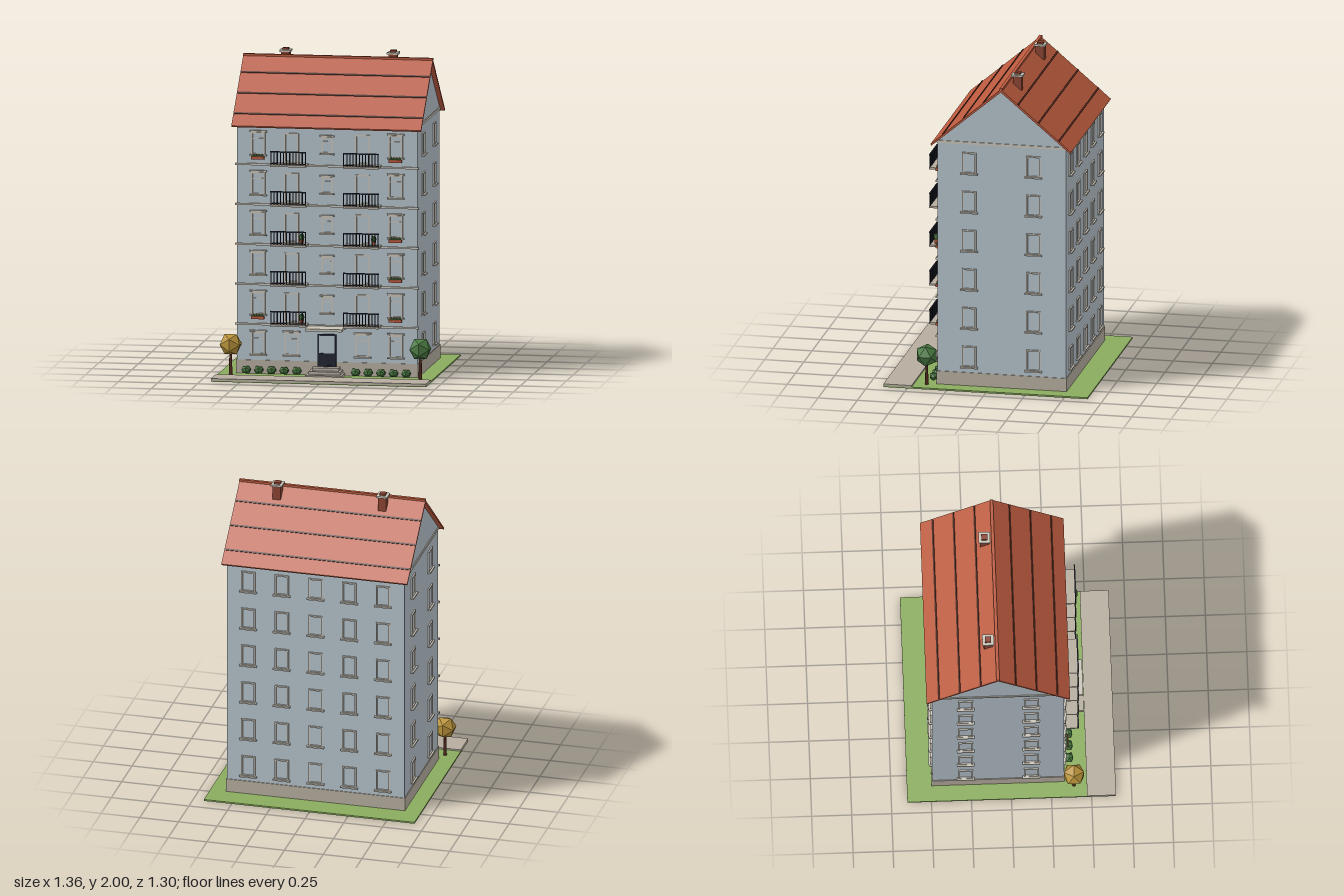
import * as THREE from 'three';

const material = (name, color, flatShading = false) => {
  const m = new THREE.MeshStandardMaterial({ color, flatShading });
  m.name = name;
  return m;
};
const WALL = material('pale blue wall', 0xb4c1ca);
const TRIM = material('cream trim', 0xc9c4b9);
const STONE = material('stone', 0xb6ad9f);
const ROOF = material('terracotta', 0xb9593d);
const BRICK = material('brick', 0x8a4432);
const BROWN = material('dark brown', 0x50281c);
const IRON = material('dark iron', 0x20242f);
const LEAF = material('leaf green', 0x4a7a42, true);
const GRASS = material('grass', 0x8aac5e);
const GOLD = material('golden leaf', 0xb8923a, true);

const FRONT = 0.33, BACK = -0.49, SIDE = 0.572, RIDGE = -0.08;
const PITCH = 0.252;

export function createModel() {
  const model = new THREE.Group();
  model.name = 'apartmentBuilding';

  const add = (parent, name, geometry, mat, x = 0, y = 0, z = 0) => {
    const mesh = new THREE.Mesh(geometry, mat);
    mesh.name = name;
    mesh.position.set(x, y, z);
    parent.add(mesh);
    return mesh;
  };
  // Box given by its centre in x and z, and its bottom in y
  const box = (parent, name, mat, w, h, d, x, y, z) =>
    add(parent, name, new THREE.BoxGeometry(w, h, d), mat, x, y + h / 2, z);
  const group = (name, x = 0, y = 0, z = 0) => {
    const g = new THREE.Group();
    g.name = name;
    g.position.set(x, y, z);
    model.add(g);
    return g;
  };
  // Profile of [z, y] points extruded along x
  const prism = (points, length) => {
    const shape = new THREE.Shape(points.map(([z, y]) => new THREE.Vector2(z, y)));
    const g = new THREE.ExtrudeGeometry(shape, { depth: length, bevelEnabled: false });
    return g.translate(0, 0, -length / 2).rotateY(-Math.PI / 2);
  };

  // Ground
  box(model, 'lawn', GRASS, 1.36, 0.01, 1.3, 0, 0, 0);
  box(model, 'pavement', STONE, 1.36, 0.014, 0.18, 0, 0.006, 0.562);

  // Walls, plinth and gable bands
  add(model, 'walls', prism([[FRONT, 0.01], [FRONT, 1.595], [RIDGE, 1.935], [BACK, 1.595], [BACK, 0.01]], SIDE * 2), WALL);
  box(model, 'plinth', STONE, SIDE * 2 + 0.01, 0.085, FRONT - BACK + 0.01, 0, 0.01, RIDGE);
  box(model, 'eavesBand', TRIM, SIDE * 2 + 0.012, 0.016, FRONT - BACK + 0.012, 0, 1.58, RIDGE);
  for (let i = 0; i < 5; i++)
    box(model, 'floorBand', TRIM, SIDE * 2 + 0.016, 0.012, 0.012, 0, 0.316 + i * PITCH, FRONT + 0.004);

  // Roof, tile courses and ridge
  add(model, 'roof', prism([[0.368, 1.575], [RIDGE, 1.956], [-0.528, 1.575], [-0.522, 1.565], [RIDGE, 1.938], [0.362, 1.565]], 1.2), ROOF);
  const slope = Math.atan2(1.956 - 1.575, 0.448);
  for (const s of [-1, 1]) {
    for (const run of [0.11, 0.24, 0.37]) {
      const course = add(model, 'tileCourse', new THREE.BoxGeometry(1.19, 0.008, 0.011), BROWN,
        0, 1.957 - run * Math.tan(slope), RIDGE + s * run);
      course.rotation.x = s * slope;
    }
  }
  box(model, 'ridgeCap', ROOF, 1.2, 0.014, 0.02, 0, 1.95, RIDGE - 0.002);

  // Chimneys
  for (const s of [-1, 1]) {
    const g = group('chimney', s * 0.34, 0, -0.135);
    box(g, 'chimneyStack', BRICK, 0.052, 0.125, 0.055, 0, 1.855, 0);
    box(g, 'chimneyCap', TRIM, 0.072, 0.012, 0.072, 0, 1.976, 0);
    box(g, 'chimneyPot', BRICK, 0.038, 0.012, 0.038, 0, 1.988, 0);
  }

  // Window surround standing on y = 0 and facing +z
  const frameGeometry = (w, h, t = 0.009) => {
    const shape = new THREE.Shape();
    shape.moveTo(-w / 2, 0).lineTo(w / 2, 0).lineTo(w / 2, h).lineTo(-w / 2, h).closePath();
    const hole = new THREE.Path();
    hole.moveTo(-w / 2 + t, t).lineTo(-w / 2 + t, h - t).lineTo(w / 2 - t, h - t).lineTo(w / 2 - t, t).closePath();
    shape.holes.push(hole);
    return new THREE.ExtrudeGeometry(shape, { depth: 0.009, bevelEnabled: false });
  };
  const addWindow = (x, y, z, w, h, { turn = 0, sill = true, lintel = false } = {}) => {
    const g = group('window', x, y, z);
    g.rotation.y = turn;
    add(g, 'windowFrame', frameGeometry(w, h), TRIM);
    if (sill) box(g, 'windowSill', TRIM, w + 0.02, 0.009, 0.024, 0, -0.006, 0.008);
    if (lintel) {
      box(g, 'windowLintel', TRIM, w + 0.022, 0.01, 0.018, 0, h + 0.002, 0.008);
      box(g, 'windowTransom', TRIM, w - 0.01, 0.005, 0.006, 0, h * 0.7, 0.003);
    }
  };

  for (let floor = 0; floor < 6; floor++) {
    const y = 0.13 + floor * PITCH;
    for (const s of [-1, 1]) {
      // Front windows and balcony doors
      addWindow(s * 0.435, y, FRONT, 0.088, 0.143, { lintel: true });
      if (floor === 0) addWindow(s * 0.225, y, FRONT, 0.088, 0.143, { lintel: true });
      else addWindow(s * 0.225, y - 0.045, FRONT, 0.092, 0.187, { sill: false });
      // Side windows
      for (const z of [0.127, -0.283])
        addWindow(s * SIDE, y, z, 0.09, 0.137, { turn: s * Math.PI / 2 });
    }
    if (floor > 0) addWindow(0, y + 0.018, FRONT, 0.07, 0.105, { lintel: true });
    // Back windows
    for (const x of [-0.435, -0.218, 0, 0.218, 0.435])
      addWindow(x, y, BACK, 0.09, 0.137, { turn: Math.PI });
  }

  // Balconies with front railings
  for (let i = 0; i < 5; i++) {
    for (const s of [-1, 1]) {
      const g = group('balcony', s * 0.23, 0.324 + i * PITCH, 0);
      box(g, 'balconySlab', STONE, 0.226, 0.012, 0.106, 0, 0, FRONT + 0.05);
      box(g, 'topRail', IRON, 0.226, 0.008, 0.008, 0, 0.09, 0.427);
      box(g, 'bottomRail', IRON, 0.226, 0.005, 0.006, 0, 0.017, 0.427);
      for (let k = 0; k < 12; k++)
        box(g, 'baluster', IRON, 0.006, 0.08, 0.006, -0.109 + k * 0.0198, 0.012, 0.427);
    }
  }

  // Window boxes with plants and blossoms: [side, floor]
  for (const [s, floor] of [[-1, 1], [-1, 5], [1, 1], [1, 2], [1, 3], [1, 5]]) {
    const g = group('windowBox', s * 0.435, 0.105 + floor * PITCH, FRONT + 0.021);
    box(g, 'planter', ROOF, 0.08, 0.018, 0.024, 0, 0, 0);
    for (let k = 0; k < 4; k++) {
      add(g, 'plant', new THREE.IcosahedronGeometry(0.011), LEAF, -0.027 + k * 0.018, 0.022, 0);
      add(g, 'blossom', new THREE.IcosahedronGeometry(0.004), ROOF, -0.027 + k * 0.018, 0.031, 0.004);
    }
  }

  // Potted plants on balconies: [x, floor]
  for (const [x, floor] of [[-0.15, 0], [-0.15, 2], [0.305, 2]]) {
    const g = group('pottedPlant', x, 0.336 + floor * PITCH, 0.393);
    add(g, 'pot', new THREE.CylinderGeometry(0.014, 0.01, 0.03, 8), ROOF, 0, 0.015, 0);
    add(g, 'potFoliage', new THREE.IcosahedronGeometry(0.019), LEAF, 0, 0.045, 0).scale.y = 1.3;
  }

  // Entrance: door, canopy and steps
  const entrance = group('entrance');
  const doorFrame = add(entrance, 'doorFrame', frameGeometry(0.118, 0.205, 0.01), IRON, 0, 0.065, FRONT + 0.003);
  doorFrame.scale.z = 1.3;
  box(entrance, 'doorPanel', IRON, 0.1, 0.082, 0.009, 0, 0.067, FRONT + 0.006);
  box(entrance, 'doorGlass', WALL, 0.1, 0.115, 0.006, 0, 0.149, FRONT + 0.004);
  box(entrance, 'canopy', TRIM, 0.232, 0.016, 0.136, 0, 0.304, FRONT + 0.068);
  for (let i = 0; i < 3; i++) {
    const depth = 0.14 - i * 0.038;
    box(entrance, 'step', STONE, 0.23 - i * 0.03, 0.018, depth, 0, 0.01 + i * 0.018, FRONT + depth / 2);
  }

  // Shrubs and trees
  for (const s of [-1, 1]) {
    for (let i = 0; i < 5; i++) {
      const shrub = add(model, 'shrub', new THREE.IcosahedronGeometry(0.034), LEAF, s * (0.186 + i * 0.08), 0.038, 0.368);
      shrub.scale.set(1, 0.8, 0.85);
    }
    const tree = group('tree', s * 0.6, 0, 0.392);
    add(tree, 'trunk', new THREE.CylinderGeometry(0.008, 0.011, 0.15, 8), BROWN, 0, 0.085, 0);
    add(tree, 'crown', new THREE.IcosahedronGeometry(0.074), s < 0 ? GOLD : LEAF, 0, 0.2, 0);
  }

  return model;
}
